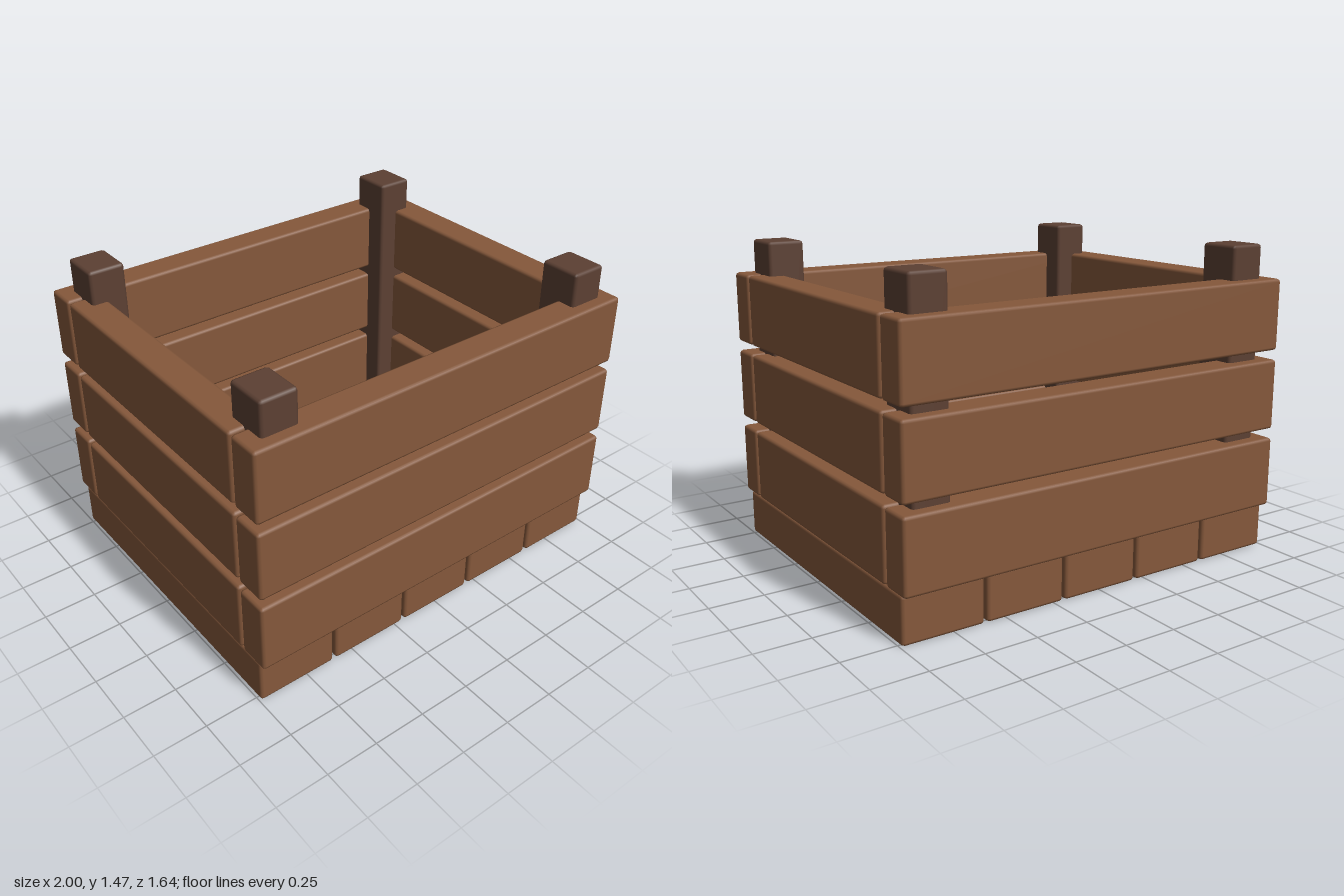
import * as THREE from 'three';
import { RoundedBoxGeometry } from 'three/addons/geometries/RoundedBoxGeometry.js';

export function createModel() {
  const crate = new THREE.Group();
  crate.name = 'woodenCrate';

  const plankWood = new THREE.MeshStandardMaterial({ color: 0x85583b });
  plankWood.name = 'plankWood';
  const postWood = new THREE.MeshStandardMaterial({ color: 0x5c4033 });
  postWood.name = 'postWood';

  // Softly bevelled board given by its size and centre
  function board(name, material, [w, h, d], [x, y, z]) {
    const mesh = new THREE.Mesh(new RoundedBoxGeometry(w, h, d, 1, 0.015), material);
    mesh.name = name;
    mesh.position.set(x, y, z);
    crate.add(mesh);
  }

  // Floor slats running front to back
  for (let i = -2; i <= 2; i++) {
    board('floorSlat', plankWood, [0.385, 0.215, 1.56], [i * 0.4, 0.1075, 0]);
  }

  // Three rows of wall planks
  for (let row = 0; row < 3; row++) {
    const y = 0.383 + row * 0.38;
    for (const s of [1, -1]) {
      board(s > 0 ? 'frontPlank' : 'backPlank', plankWood, [2, 0.335, 0.155], [0, y, s * 0.742]);
      board(s > 0 ? 'leftPlank' : 'rightPlank', plankWood, [0.155, 0.335, 1.305], [s * 0.922, y, 0]);
    }
  }

  // Corner posts standing on the floor
  for (const sx of [1, -1]) {
    for (const sz of [1, -1]) {
      board('cornerPost', postWood, [0.175, 1.27, 0.2], [sx * 0.838, 0.835, sz * 0.66]);
    }
  }

  return crate;
}
